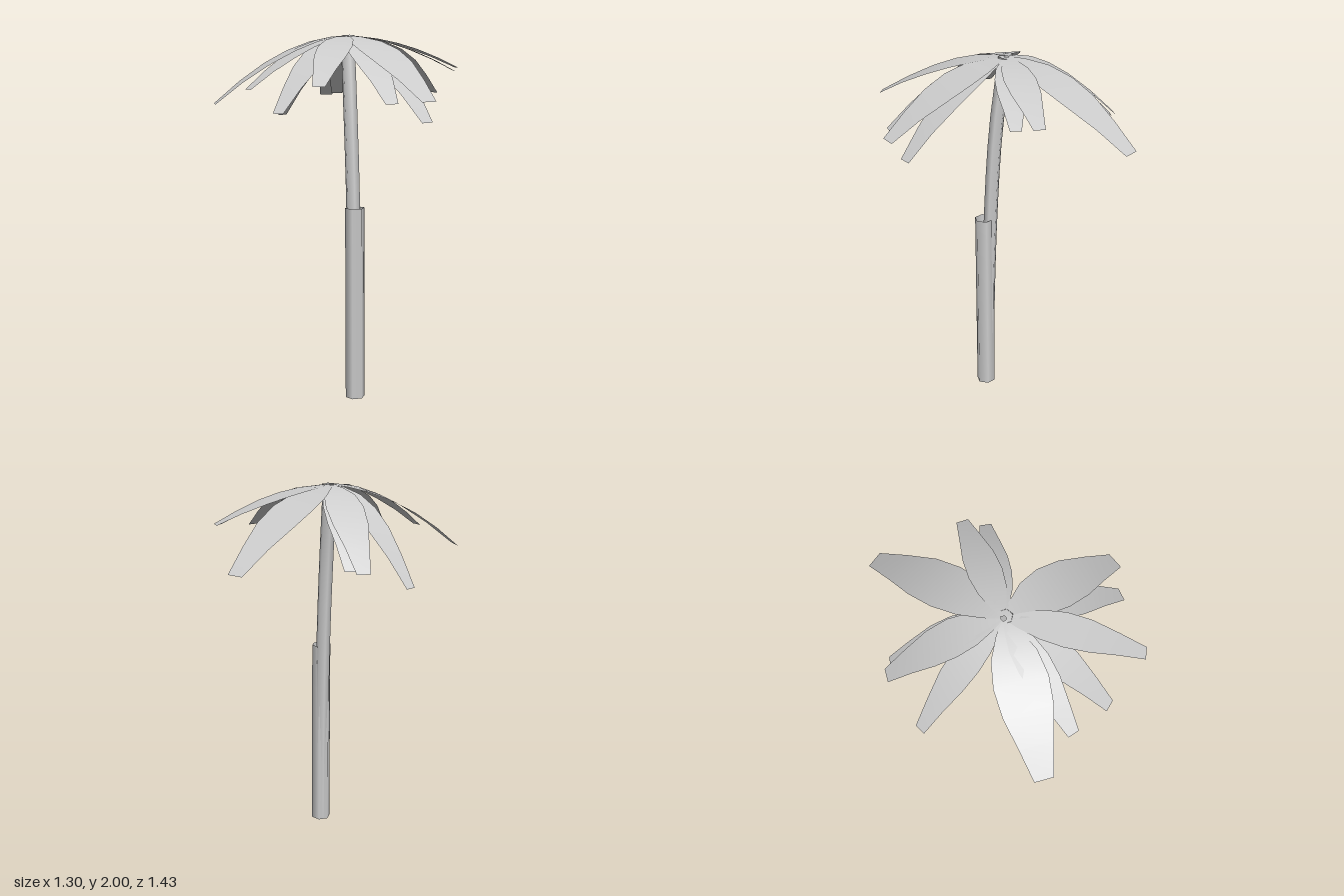
import * as THREE from 'three';

const grey = new THREE.MeshStandardMaterial({ color: 0xcccccc, side: THREE.DoubleSide });
grey.name = 'plainGrey';

// Crown centre, where every frond starts
const CROWN = new THREE.Vector3(-0.075, 1.992, 0.09);

// Frond outline: [distance along the frond, share of full width]
const OUTLINE = [[0.02, 0.1], [0.1, 0.42], [0.25, 0.83], [0.42, 1], [0.6, 0.93], [0.8, 0.64], [1, 0.36]];

// Fronds: tip x, tip y, tip z, full width
const FRONDS = [
  [-0.157, 1.65, -0.715, 0.25],
  [0.243, 1.815, -0.463, 0.17],
  [0.31, 1.8, -0.367, 0.16],
  [0.64, 1.675, 0.222, 0.25],
  [0.58, 1.565, 0.165, 0.2],
  [0.52, 1.665, 0.362, 0.19],
  [0.32, 1.755, 0.668, 0.18],
  [0.04, 1.61, 0.685, 0.18],
  [-0.217, 1.72, 0.66, 0.17],
  [-0.463, 1.635, 0.688, 0.27],
  [-0.65, 1.53, 0.045, 0.165],
  [-0.575, 1.64, -0.24, 0.2],
  [-0.515, 1.65, -0.27, 0.17],
];

// Thin drooping leaf, flat across its width
function frondGeometry([x, y, z, width]) {
  const dx = x - CROWN.x, dz = z - CROWN.z;
  const length = Math.hypot(dx, dz);
  const sx = -dz / length, sz = dx / length;
  const positions = [], index = [];
  OUTLINE.forEach(([t, w], i) => {
    const drop = (CROWN.y - y) * Math.pow(t, 1.75);
    for (const side of [-0.5, 0.5]) {
      const s = side * w * width;
      positions.push(CROWN.x + dx * t + sx * s, CROWN.y - drop, CROWN.z + dz * t + sz * s);
    }
    if (i > 0) {
      const a = 2 * i - 2;
      index.push(a, a + 1, a + 2, a + 1, a + 3, a + 2);
    }
  });
  const geometry = new THREE.BufferGeometry();
  geometry.setAttribute('position', new THREE.Float32BufferAttribute(positions, 3));
  geometry.setIndex(index);
  geometry.computeVertexNormals();
  return geometry;
}

export function createModel() {
  const model = new THREE.Group();
  model.name = 'palmTree';
  const add = (name, geometry, parent = model) => {
    const mesh = new THREE.Mesh(geometry, grey);
    mesh.name = name;
    parent.add(mesh);
    return mesh;
  };

  // Straight open six-sided sleeve round the lower trunk
  const sleeve = new THREE.CylinderGeometry(0.054, 0.054, 1.07, 6, 1, true);
  sleeve.rotateY(Math.PI / 6);
  add('trunkSleeve', sleeve).position.set(0.046, 0.535, 0.146);

  // Slender leaning trunk, open at both ends
  const path = new THREE.CatmullRomCurve3([
    [0.038, 0, 0.14], [0.033, 0.5, 0.136], [0.012, 1.15, 0.126],
    [-0.018, 1.6, 0.114], [-0.063, 1.992, 0.088],
  ].map((p) => new THREE.Vector3(...p)));
  add('trunk', new THREE.TubeGeometry(path, 12, 0.039, 6, false));

  // Crown of fronds
  const crown = new THREE.Group();
  crown.name = 'crown';
  model.add(crown);
  FRONDS.forEach((frond, i) => add(`frond${i + 1}`, frondGeometry(frond), crown));

  return model;
}
